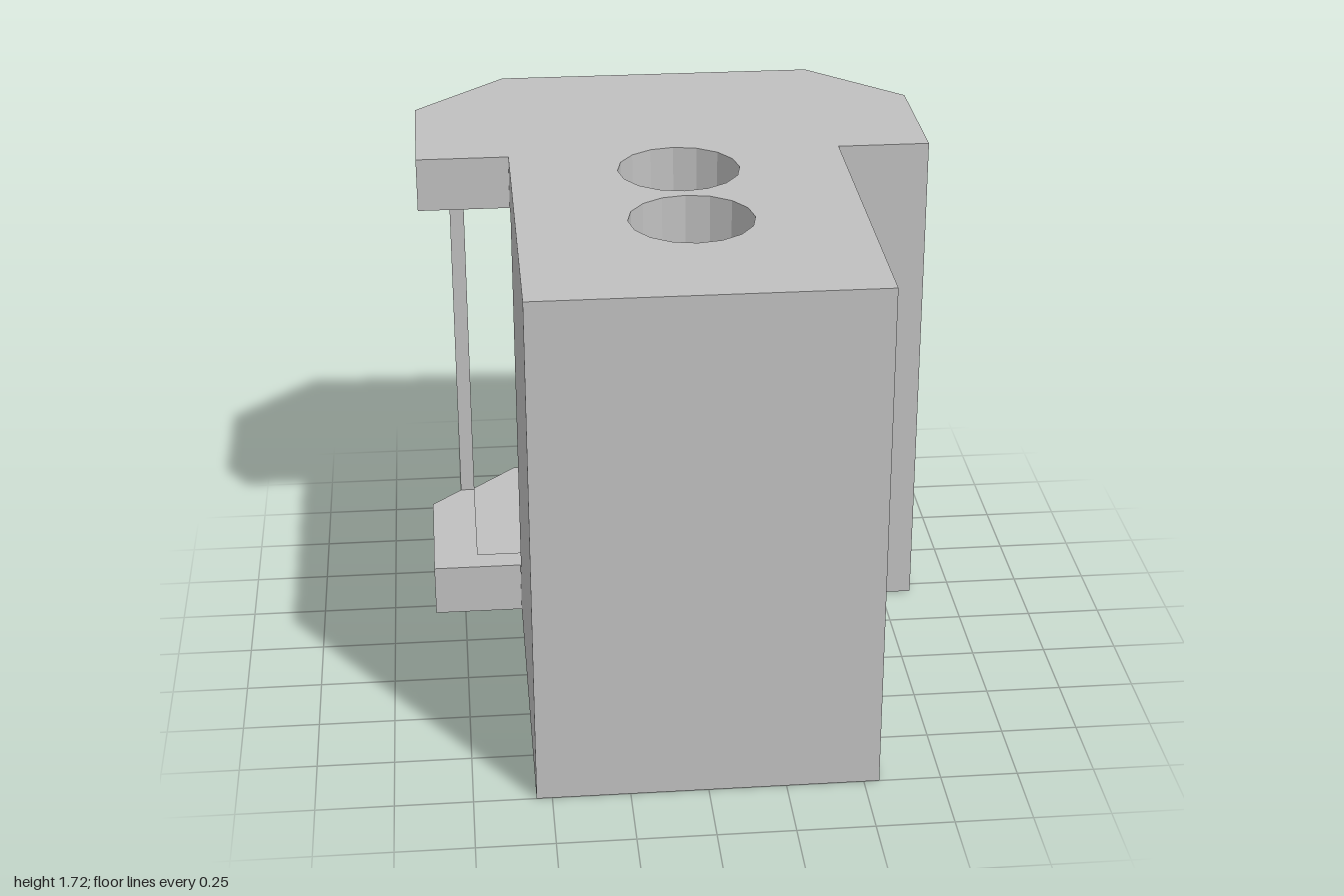
import * as THREE from 'three';
import { mergeGeometries } from 'three/addons/utils/BufferGeometryUtils.js';

const HEIGHT = 1.72, FLOOR = 0.16, LEDGE = 0.18, MID = HEIGHT / 2, SOCKET_DEPTH = 0.4;

// Plan corners as [x, z]
const A = [-0.55, 1], B = [0.55, 1], C = [0.55, -0.2], D = [0.855, -0.2], E = [0.855, -0.69];
const F = [0.545, -1], G = [-0.545, -1], H = [-0.855, -0.69], I = [-0.855, -0.2], J = [-0.55, -0.2];
// Cavity corners, open to the back
const M = [0.7, -0.845], K = [0.7, -0.29], L = [-0.7, -0.29], N = [-0.7, -0.845];
// Side window corners and the slim post left beside it
const O = [-0.75, -0.795], P = [-0.7, -0.795], Q = [-0.47, -0.29], R = [-0.47, -0.13], S = [-0.55, -0.13];

const slabLoop = [A, B, C, D, E, M, F, G, N, O, H, I, J, S];
const rimLoop = [A, B, C, D, E, M, K, Q, L, P, N, O, H, I, J, S];
const bodyLoop = [A, B, C, D, E, M, K, Q, R, S];
const postLoop = [N, O, P];
const ledgeLoop = [L, P, O, H, I, J, S, R, Q];
const floorLoop = [M, F, G, N, P, L, Q, K];

const circle = (z, r = 0.2, n = 16) => Array.from({ length: n }, (_, i) => {
  const a = (i / n) * Math.PI * 2;
  return [r * Math.cos(a), z + r * Math.sin(a)];
});
const sockets = [circle(-0.04), circle(0.4)];

function finish(positions) {
  const g = new THREE.BufferGeometry();
  g.setAttribute('position', new THREE.Float32BufferAttribute(positions, 3));
  g.computeVertexNormals();
  return g;
}

// Reverses the corner order of every triangle, optionally mirroring over mid height
function flipped(geometry, mirror = false) {
  const p = geometry.attributes.position, out = [];
  for (let i = 0; i < p.count; i += 3) {
    for (const k of [i, i + 2, i + 1]) {
      out.push(p.getX(k), mirror ? HEIGHT - p.getY(k) : p.getY(k), p.getZ(k));
    }
  }
  return finish(out);
}

// Upright walls along a closed plan loop
function walls(loop, y0, y1) {
  const out = [];
  loop.forEach(([x, z], i) => {
    const [u, w] = loop[(i + 1) % loop.length];
    out.push(x, y0, z, u, y0, w, u, y1, w, x, y0, z, u, y1, w, x, y1, z);
  });
  return finish(out);
}

// Level face, facing up
function cap(loop, y, holes = []) {
  const flat = (pts) => pts.map(([x, z]) => new THREE.Vector2(x, -z));
  const shape = new THREE.Shape(flat(loop));
  shape.holes = holes.map((h) => new THREE.Path(flat(h)));
  const g = new THREE.ShapeGeometry(shape).toNonIndexed();
  g.rotateX(-Math.PI / 2).translate(0, y, 0);
  return finish(Array.from(g.attributes.position.array));
}

export function createModel() {
  const model = new THREE.Group();
  model.name = 'housing';
  const grey = new THREE.MeshStandardMaterial({ color: 0xc0c0c0 });
  grey.name = 'grey';

  // Each part is made for the lower half and mirrored to the upper half
  const add = (name, geometries) => {
    const both = geometries.flatMap((g) => [g, flipped(g, true)]);
    const mesh = new THREE.Mesh(mergeGeometries(both), grey);
    mesh.name = name;
    model.add(mesh);
  };

  // Block, end plates, raised ledge and cavity floor as one closed shell
  add('housingShell', [
    flipped(cap(slabLoop, 0, sockets)),
    walls(slabLoop, 0, FLOOR),
    cap(floorLoop, FLOOR),
    walls(rimLoop, FLOOR, LEDGE),
    cap(ledgeLoop, LEDGE),
    walls(bodyLoop, LEDGE, MID),
  ]);

  // Slim corner post between the end plates
  add('cornerPost', [walls(postLoop, LEDGE, MID)]);

  // Round blind holes in the top and underside
  sockets.forEach((ring, i) => add(i ? 'frontSocket' : 'rearSocket', [
    walls(ring, 0, SOCKET_DEPTH),
    flipped(cap(ring, SOCKET_DEPTH)),
  ]));

  return model;
}
